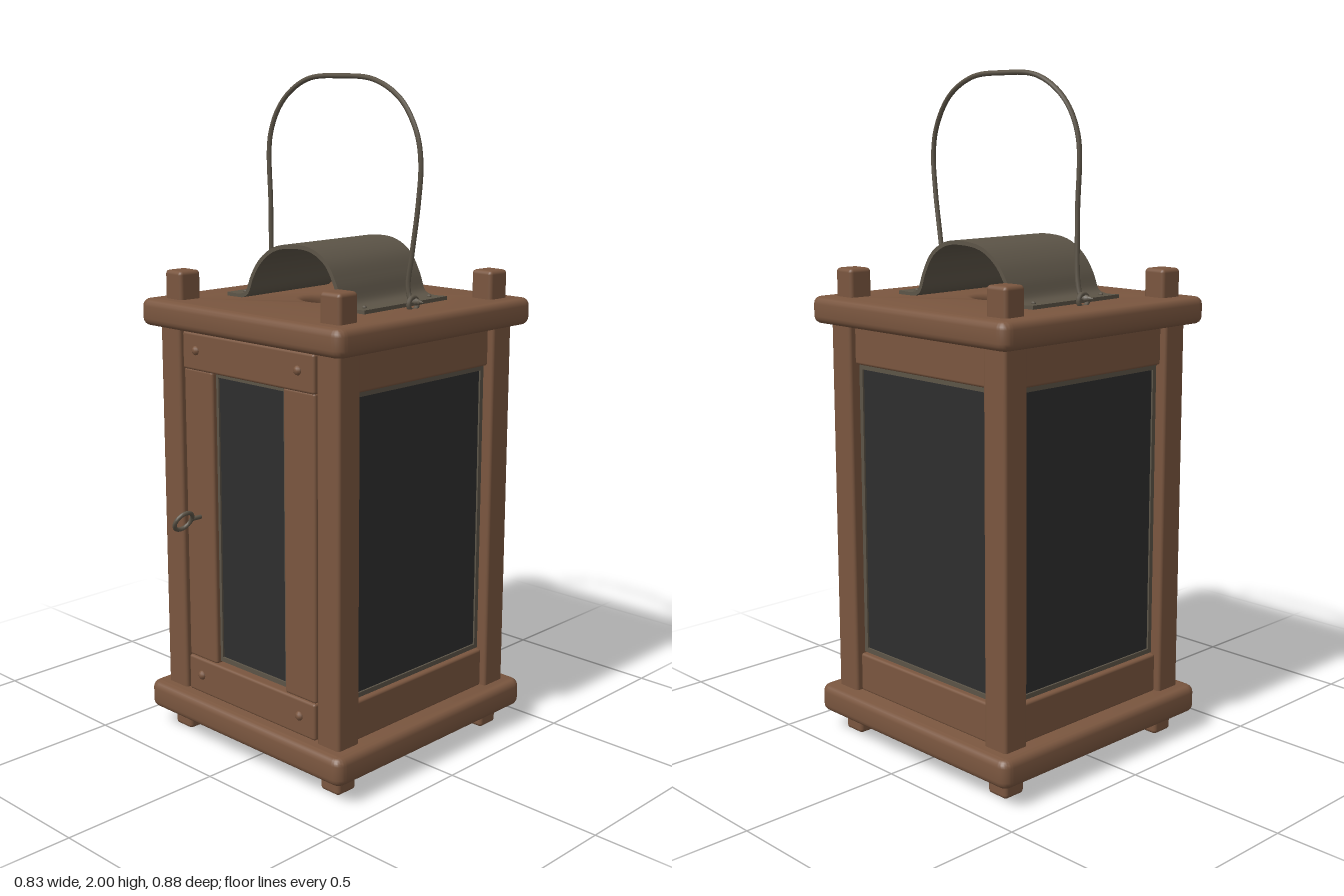
import * as THREE from 'three';
import { RoundedBoxGeometry } from 'three/addons/geometries/RoundedBoxGeometry.js';
import { toCreasedNormals } from 'three/addons/utils/BufferGeometryUtils.js';

const material = (name, color) => Object.assign(new THREE.MeshStandardMaterial({ color }), { name });
const wood = material('wood', 0x7a563f);
const iron = material('iron', 0x5c5447);
const glass = material('darkGlass', 0x2e2e2e);

function add(parent, name, geometry, mat, x = 0, y = 0, z = 0) {
  const mesh = new THREE.Mesh(geometry, mat);
  mesh.name = name;
  mesh.position.set(x, y, z);
  parent.add(mesh);
  return mesh;
}

const plank = (w, h, d, r = 0.008) => new RoundedBoxGeometry(w, h, d, 2, r);

// Square board with rounded edges and an optional round vent
function slab(size, height, holeRadius) {
  const b = 0.022, h = size / 2 - b, c = 0.012;
  const shape = new THREE.Shape();
  shape.moveTo(-h + c, -h);
  shape.lineTo(h - c, -h).quadraticCurveTo(h, -h, h, -h + c);
  shape.lineTo(h, h - c).quadraticCurveTo(h, h, h - c, h);
  shape.lineTo(-h + c, h).quadraticCurveTo(-h, h, -h, h - c);
  shape.lineTo(-h, -h + c).quadraticCurveTo(-h, -h, -h + c, -h);
  if (holeRadius) {
    const hole = new THREE.Path();
    hole.absarc(0, 0, holeRadius, 0, Math.PI * 2, true);
    shape.holes.push(hole);
  }
  const geometry = new THREE.ExtrudeGeometry(shape, {
    depth: height - 2 * b, bevelThickness: b, bevelSize: b, bevelSegments: 4, curveSegments: 10,
  });
  geometry.rotateX(-Math.PI / 2).translate(0, b, 0);
  return toCreasedNormals(geometry, 0.7);
}

// Dark pane with a thin iron border, facing +z
function pane(parent, x, w, z) {
  const bottom = 0.265, top = 1.155, h = top - bottom, y = (top + bottom) / 2, t = 0.014;
  add(parent, 'pane', new THREE.BoxGeometry(w, h, 0.008), glass, x, y, z);
  for (const s of [-1, 1]) {
    add(parent, 'paneTrim', new THREE.BoxGeometry(t, h, 0.009), iron, x + s * (w - t) / 2, y, z + 0.005);
    add(parent, 'paneTrim', new THREE.BoxGeometry(w - 2 * t, t, 0.009), iron, x, y + s * (h - t) / 2, z + 0.005);
  }
}

function wall(angle) {
  const g = new THREE.Group();
  g.name = 'glazedWall';
  add(g, 'topRail', plank(0.57, 0.115, 0.045), wood, 0, 1.213, 0.328);
  add(g, 'bottomRail', plank(0.57, 0.12, 0.045), wood, 0, 0.202, 0.328);
  pane(g, 0, 0.56, 0.328);
  g.rotation.y = angle;
  return g;
}

function door() {
  const g = new THREE.Group();
  g.name = 'door';
  for (const y of [0.203, 1.21]) {
    add(g, 'doorRail', plank(0.545, 0.112, 0.045), wood, 0.003, y, 0.347);
    for (const x of [-0.21, 0.213]) {
      const nail = add(g, 'nailHead', new THREE.SphereGeometry(0.014, 10, 6), iron, x, y + 0.004, 0.369);
      nail.scale.z = 0.8;
      nail.material = wood;
    }
  }
  add(g, 'leftStile', plank(0.125, 0.9, 0.04), wood, 0.21, 0.707, 0.343);
  add(g, 'rightStile', plank(0.125, 0.9, 0.04), wood, -0.21, 0.707, 0.343);
  pane(g, -0.002, 0.3, 0.338);

  // Pull ring on a short pin
  const ring = add(g, 'pullRing', new THREE.TorusGeometry(0.032, 0.0065, 8, 20), iron, -0.21, 0.71, 0.43);
  ring.rotation.set(0, Math.PI / 2, -0.5, 'ZYX');
  const pin = add(g, 'ringPin', new THREE.CylinderGeometry(0.007, 0.007, 0.04, 8), iron, -0.21, 0.71, 0.38);
  pin.rotation.x = Math.PI / 2;
  return g;
}

// Bent sheet-metal hood over the vent
function hood() {
  const g = new THREE.Group();
  g.name = 'hood';
  const pts = [[-0.27, 1.357], [-0.215, 1.357], [-0.19, 1.367], [-0.165, 1.42], [-0.13, 1.468], [-0.075, 1.505],
    [0, 1.518], [0.07, 1.512], [0.125, 1.48], [0.16, 1.425], [0.185, 1.367], [0.21, 1.357], [0.27, 1.357]];
  const curve = new THREE.CatmullRomCurve3(pts.map(([x, y]) => new THREE.Vector3(x, y, 0)));
  const edge = (offset) => Array.from({ length: 49 }, (_, i) => {
    const p = curve.getPointAt(i / 48), t = curve.getTangentAt(i / 48);
    return new THREE.Vector2(p.x - t.y * offset, p.y + t.x * offset);
  });
  const shape = new THREE.Shape([...edge(-0.006), ...edge(0.006).reverse()]);
  const sheet = new THREE.ExtrudeGeometry(shape, { depth: 0.37, bevelEnabled: false }).translate(0, 0, -0.185);
  add(g, 'hoodSheet', toCreasedNormals(sheet, 0.6), iron);
  for (const x of [-0.235, 0.235]) for (const z of [-0.145, 0.145]) {
    add(g, 'hoodNail', new THREE.SphereGeometry(0.007, 8, 6), iron, x, 1.363, z);
  }
  g.rotation.y = 0.04;
  return g;
}

// Wire bail hooked into two eyelets
function handle() {
  const g = new THREE.Group();
  g.name = 'handle';
  const pts = [[-0.325, 1.372, 0], [-0.295, 1.374, 0], [-0.282, 1.41, 0], [-0.275, 1.6, 0.003], [-0.277, 1.82, 0],
    [-0.23, 1.92, -0.008], [-0.14, 1.982, -0.018], [0, 1.992, -0.021], [0.13, 1.982, -0.018], [0.24, 1.928, -0.01],
    [0.308, 1.84, 0], [0.327, 1.76, 0.003], [0.32, 1.65, 0.003], [0.297, 1.5, 0.002], [0.283, 1.41, 0],
    [0.295, 1.374, 0], [0.33, 1.372, 0]];
  const path = new THREE.CatmullRomCurve3(pts.map((p) => new THREE.Vector3(...p)));
  add(g, 'bail', new THREE.TubeGeometry(path, 110, 0.0075, 7), iron);
  for (const s of [-1, 1]) {
    const eye = add(g, 'eyelet', new THREE.TorusGeometry(0.019, 0.007, 8, 16), iron, s * 0.302, 1.365, 0);
    eye.rotation.y = Math.PI / 2;
    const tip = add(g, 'wireTip', new THREE.ConeGeometry(0.011, 0.03, 7), iron, s * 0.328, 1.372, 0);
    tip.rotation.z = -s * Math.PI / 2;
  }
  return g;
}

export function createModel() {
  const root = new THREE.Group();
  root.name = 'lantern';
  const body = new THREE.Group();
  body.name = 'lanternBody';
  body.position.z = -0.027;
  root.add(body);

  add(body, 'baseBoard', slab(0.826, 0.085), wood, 0, 0.06, 0);
  add(body, 'topBoard', slab(0.826, 0.08, 0.12), wood, 0, 1.272, 0);

  // Corner posts with their tenons showing above and below
  for (const x of [-1, 1]) for (const z of [-1, 1]) {
    add(body, 'cornerPost', plank(0.086, 1.15, 0.086, 0.01), wood, x * 0.326, 0.71, z * 0.326);
    add(body, 'foot', plank(0.074, 0.1, 0.074, 0.012), wood, x * 0.32, 0.05, z * 0.32);
    const cap = add(body, 'postCap', plank(0.076, 0.12, 0.076, 0.012), wood, x * 0.32, 1.376, z * 0.32);
    cap.rotation.y = x * z * 0.04;
  }

  for (const turn of [1, 2, 3]) body.add(wall(turn * Math.PI / 2));
  body.add(door(), hood(), handle());
  return root;
}
